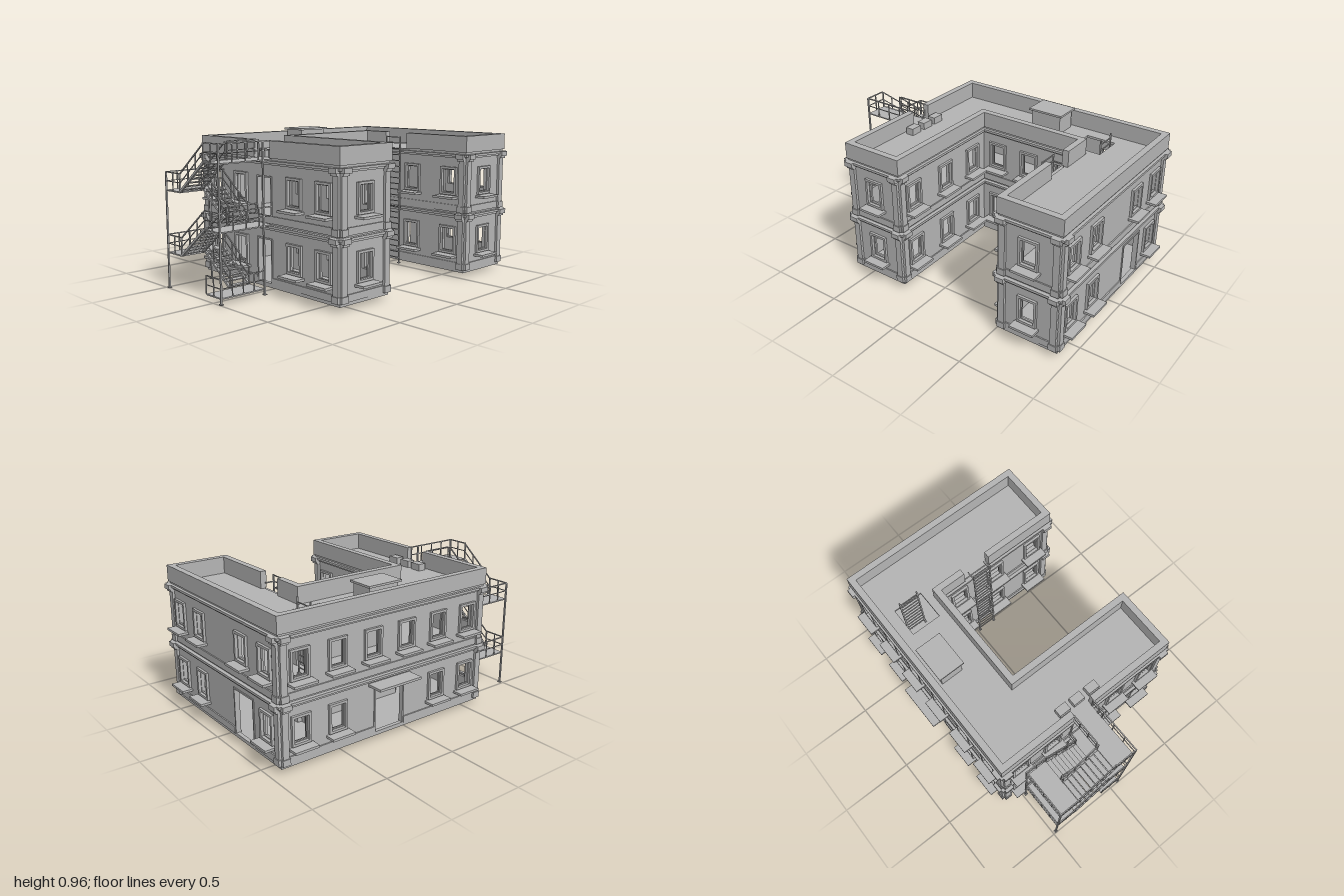
import * as THREE from 'three';

const grey = new THREE.MeshStandardMaterial({ color: 0xb4b4b4 });
grey.name = 'plain grey';

// U-shaped plan: x, z and the outward offset direction of each corner
const CORNERS = [
  [-0.605, 0.65, -1, 1], [-0.21, 0.65, 1, 1], [-0.21, -0.22, 1, 1], [0.53, -0.22, -1, 1],
  [0.53, 0.65, -1, 1], [0.93, 0.65, 1, 1], [0.93, -0.61, 1, -1], [-0.605, -0.61, -1, -1],
];
const offset = (pts, d) => pts.map(([x, z, nx, nz]) => new THREE.Vector2(x + nx * d, z + nz * d));

function add(parent, geo, name) {
  const m = new THREE.Mesh(geo, grey);
  m.name = name;
  parent.add(m);
  return m;
}
function box(parent, name, x0, x1, y0, y1, z0, z1) {
  const m = add(parent, new THREE.BoxGeometry(x1 - x0, y1 - y0, z1 - z0), name);
  m.position.set((x0 + x1) / 2, (y0 + y1) / 2, (z0 + z1) / 2);
  return m;
}
function group(parent, name) {
  const g = new THREE.Group();
  g.name = name;
  parent.add(g);
  return g;
}
// Thin square bar between two points
function bar(parent, name, a, b, t = 0.007) {
  const A = new THREE.Vector3(...a), B = new THREE.Vector3(...b);
  const m = add(parent, new THREE.BoxGeometry(t, t, A.distanceTo(B)), name);
  m.position.copy(A).lerp(B, 0.5);
  m.lookAt(B);
  return m;
}
// Plan shape raised between two heights
function slab(parent, name, shape, y0, y1) {
  const geo = new THREE.ExtrudeGeometry(shape, { depth: y1 - y0, bevelEnabled: false });
  geo.rotateX(Math.PI / 2).translate(0, y1, 0);
  return add(parent, geo, name);
}
const rectPath = (cx, cy, w, h, C = THREE.Path) => new C([
  [-1, -1], [1, -1], [1, 1], [-1, 1],
].map(([a, b]) => new THREE.Vector2(cx + a * w / 2, cy + b * h / 2)));

function band(parent, name, d, y0, y1) {
  const s = new THREE.Shape(offset(CORNERS, d));
  s.holes.push(new THREE.Path(offset(CORNERS, -0.01)));
  slab(parent, name, s, y0, y1);
}
function ring(parent, name, cx, cy, w, h, t, z0, depth) {
  const s = rectPath(cx, cy, w, h, THREE.Shape);
  s.holes.push(rectPath(cx, cy, w - 2 * t, h - 2 * t));
  add(parent, new THREE.ExtrudeGeometry(s, { depth, bevelEnabled: false }), name).position.z = z0;
}

const FLOORS = [0.24, 0.632];
const WIN_W = 0.1, WIN_H = 0.155, WALL_T = 0.03;

// Wall with openings; side is the facing axis, a..b its run, at its plane
function wall(parent, name, side, at, a, b, floors, doors = []) {
  const g = group(parent, name);
  const sign = side === '+z' || side === '-x' ? 1 : -1;
  g.rotation.y = { '+z': 0, '-z': Math.PI, '+x': Math.PI / 2, '-x': -Math.PI / 2 }[side];
  if (side[1] === 'z') g.position.z = at; else g.position.x = at;
  const s = rectPath(sign * (a + b) / 2, 0.43, b - a, 0.77, THREE.Shape);
  floors.forEach((list, i) => list.forEach((c) => {
    const u = sign * c, y = FLOORS[i];
    s.holes.push(rectPath(u, y, WIN_W, WIN_H));
    ring(g, 'windowFrame', u, y, 0.13, 0.185, 0.0155, -0.005, 0.021);
    ring(g, 'windowSash', u, y, 0.102, 0.157, 0.007, -0.015, 0.012);
    box(g, 'windowSill', u - 0.08, u + 0.08, y - 0.113, y - 0.098, 0, 0.07);
  }));
  doors.forEach(([c, w, y0, h]) => {
    const u = sign * c;
    s.holes.push(rectPath(u, y0 + h / 2, w, h));
    ring(g, 'doorFrame', u, y0 + h / 2, w + 0.012, h + 0.008, 0.01, -0.02, 0.026);
  });
  add(g, new THREE.ExtrudeGeometry(s, { depth: WALL_T, bevelEnabled: false }), 'wallPanel').position.z = -WALL_T;
}

function ladder(parent, name, x, z0, z1, y0, y1) {
  const g = group(parent, name);
  for (const z of [z0, z1]) {
    bar(g, 'ladderRail', [x, y0, z], [x, y1, z], 0.009);
    box(g, 'ladderFoot', x - 0.009, x + 0.009, y0, y0 + 0.006, z - 0.009, z + 0.009);
  }
  for (let y = y0 + 0.04; y < y1; y += 0.04) bar(g, 'rung', [x, y, z0], [x, y, z1], 0.006);
}

// Handrail with two bars and evenly spaced posts
function railing(parent, a, b, posts = 2, h = 0.11) {
  const up = (p, d) => [p[0], p[1] + d, p[2]];
  bar(parent, 'handrail', up(a, h), up(b, h));
  bar(parent, 'midRail', up(a, h * 0.5), up(b, h * 0.5), 0.005);
  for (let i = 0; i <= posts; i++) {
    const p = a.map((v, k) => v + (b[k] - v) * i / posts);
    bar(parent, 'railPost', p, up(p, h), 0.006);
  }
}

function stairRun(parent, x0, x1, y0, y1, z0, z1) {
  const g = group(parent, 'stairRun'), n = 8;
  for (let i = 0; i < n; i++) {
    const y = y0 + (y1 - y0) * (i + 0.5) / n, z = z0 + (z1 - z0) * (i + 0.5) / n;
    box(g, 'tread', x0, x1, y - 0.003, y + 0.003, z - 0.016, z + 0.016);
  }
  for (const x of [x0 + 0.004, x1 - 0.004]) {
    bar(g, 'stringer', [x, y0, z0], [x, y1, z1], 0.014);
    railing(g, [x, y0, z0], [x, y1, z1], 3);
  }
}

function fireEscape(parent) {
  const g = group(parent, 'fireEscape');
  const L = -0.99, M0 = -0.83, M1 = -0.82, R = -0.67, BACK = -0.478, B = -0.33, F = -0.08, FRONT = 0.068;
  // Posts with feet
  for (const [z, top] of [[FRONT, 0.93], [BACK, 0.73]]) for (const x of [L, R]) {
    bar(g, 'supportPost', [x, 0, z], [x, top, z], 0.01);
    box(g, 'postFoot', x - 0.01, x + 0.01, 0, 0.006, z - 0.012, z + 0.012);
  }
  // Main landings
  [[0.04, R], [0.425, -0.605], [0.82, -0.575]].forEach(([y, end]) => {
    box(g, 'landing', L, end, y - 0.008, y, F, FRONT);
    railing(g, [L, y, F], [L, y, FRONT], 2);
    railing(g, [L, y, FRONT], [Math.min(end, -0.61), y, FRONT], 4);
    if (end > R) railing(g, [R, y, F], [-0.61, y, F], 1);
  });
  railing(g, [M1, 0.82, F], [R, 0.82, F], 2);
  // Half landings and the two runs of each storey
  for (const y of [0.04, 0.43]) {
    const mid = y + 0.19;
    box(g, 'halfLanding', L, R, mid - 0.008, mid, BACK, B);
    railing(g, [L, mid, BACK], [R, mid, BACK], 4);
    for (const x of [L, R]) railing(g, [x, mid, BACK], [x, mid, B], 2);
    stairRun(g, M1, R, y, mid, F, B);
    stairRun(g, L, M0, mid, y + 0.387, B, F);
  }
}

export function createModel() {
  const model = new THREE.Group();
  model.name = 'building';

  // Floors and roof
  const plan = () => new THREE.Shape(offset(CORNERS, -0.003));
  slab(model, 'baseSlab', new THREE.Shape(offset(CORNERS, 0.003)), 0.03, 0.05);
  slab(model, 'upperFloor', plan(), 0.415, 0.43);
  const roof = plan();
  roof.holes.push(rectPath(0.53, -0.4, 0.2, 0.2));
  slab(model, 'roof', roof, 0.805, 0.82);

  // Walls
  const wing = [-0.08, 0.21, 0.52], side = [0.525, 0.275, -0.225, -0.475];
  wall(model, 'leftFrontWall', '+z', 0.65, 0.53, 0.93, [[0.725], [0.725]]);
  wall(model, 'rightFrontWall', '+z', 0.65, -0.605, -0.21, [[-0.41], [-0.41]]);
  const court = [-0.09, 0.157, 0.41];
  wall(model, 'courtyardBackWall', '+z', -0.22, -0.21, 0.53, [court, court]);
  wall(model, 'courtyardRightWall', '+x', -0.21, -0.22, 0.65, [wing, wing]);
  wall(model, 'courtyardLeftWall', '-x', 0.53, -0.22, 0.65, [wing, wing]);
  wall(model, 'leftWall', '+x', 0.93, -0.61, 0.65, [[0.525, 0.275, -0.475], side], [[-0.223, 0.21, 0.05, 0.3]]);
  wall(model, 'rightWall', '-x', -0.605, -0.61, 0.65, [side, side],
    [[0, 0.13, 0.052, 0.28], [0, 0.13, 0.432, 0.28]]);
  wall(model, 'backWall', '-z', -0.61, -0.605, 0.93,
    [[-0.47, -0.22, 0.545, 0.8], [-0.47, -0.22, 0.035, 0.29, 0.545, 0.8]], [[0.16, 0.22, 0.05, 0.3]]);
  box(model, 'doorCanopy', 0, 0.32, 0.365, 0.38, -0.72, -0.6);

  // Horizontal mouldings
  [[0.43, 0.475, 0.008], [0.39, 0.405, 0.012], [0.405, 0.42, 0.025], [0.785, 0.797, 0.012],
    [0.797, 0.812, 0.025]].forEach(([y0, y1, d]) => band(model, 'moulding', d, y0, y1));
  // Lower storey base course, broken at the doors
  [[-0.605, -0.21, 0.65, 0.658], [0.53, 0.93, 0.65, 0.658], [-0.21, 0.53, -0.22, -0.212], [-0.605, 0.045, -0.618, -0.61],
    [0.275, 0.93, -0.618, -0.61], [-0.21, -0.202, -0.22, 0.65], [0.522, 0.53, -0.22, 0.65], [0.93, 0.938, -0.61, -0.335],
    [0.93, 0.938, -0.11, 0.65], [-0.613, -0.605, -0.61, -0.07], [-0.613, -0.605, 0.07, 0.65],
  ].forEach(([x0, x1, z0, z1]) => box(model, 'baseCourse', x0, x1, 0.05, 0.093, z0, z1));

  // Paired corner pilasters with stepped capitals on each storey
  CORNERS.filter((c, i) => i !== 2 && i !== 3).forEach(([x, z, nx, nz]) => {
    const g = group(model, 'cornerPilaster');
    const piece = (name, w, d, y0, y1) => {
      for (const [px, pz, sx, sz] of [[0.022, d / 2, w, d + 0.02], [d / 2, 0.022, d + 0.02, w]]) {
        const kx = px === 0.022 ? x - nx * px : x + nx * (px - 0.01);
        const kz = pz === 0.022 ? z - nz * pz : z + nz * (pz - 0.01);
        box(g, name, kx - sx / 2, kx + sx / 2, y0, y1, kz - sz / 2, kz + sz / 2);
      }
    };
    for (const [y0, y1] of [[0.05, 0.42], [0.43, 0.812]]) {
      piece('pilasterBase', 0.052, 0.022, y0, y0 + 0.04);
      piece('pilasterShaft', 0.042, 0.016, y0, y1);
      piece('capitalNeck', 0.05, 0.03, y1 - 0.045, y1 - 0.03);
      piece('capital', 0.06, 0.042, y1 - 0.03, y1);
    }
  });

  // Parapet in two strips, open at the ladder and at the fire escape
  const [A, B, C, D, E, F, G, H] = CORNERS;
  const strips = [
    [[-0.605, 0.07, -1, 0], A, B, C, D, [0.53, -0.03, -1, 0]],
    [[0.53, 0.16, -1, 0], E, F, G, H, [-0.605, -0.08, -1, 0]],
  ];
  for (const s of strips) {
    const strip = (name, d0, d1, y0, y1) =>
      slab(model, name, new THREE.Shape([...offset(s, d0), ...offset(s, d1).reverse()]), y0, y1);
    strip('parapetFoot', 0.005, -0.025, 0.81, 0.83);
    strip('parapet', 0.014, -0.028, 0.825, 0.93);
  }

  // Roof details
  box(model, 'roofHousing', 0.055, 0.27, 0.82, 0.945, -0.553, -0.403);
  box(model, 'roofHousingLid', 0.04, 0.285, 0.943, 0.956, -0.568, -0.39);
  for (const z of [-0.092, 0.017, 0.132]) box(model, 'roofUnit', -0.555, -0.5, 0.82, 0.865, z - 0.04, z + 0.04);
  ladder(model, 'hatchLadder', 0.615, -0.46, -0.33, 0.43, 0.9);
  ladder(model, 'courtyardLadder', 0.477, 0.013, 0.137, 0.02, 0.905);
  for (const z of [0.013, 0.137]) bar(model, 'ladderBracket', [0.477, 0.86, z], [0.54, 0.86, z]);

  fireEscape(model);
  return model;
}
